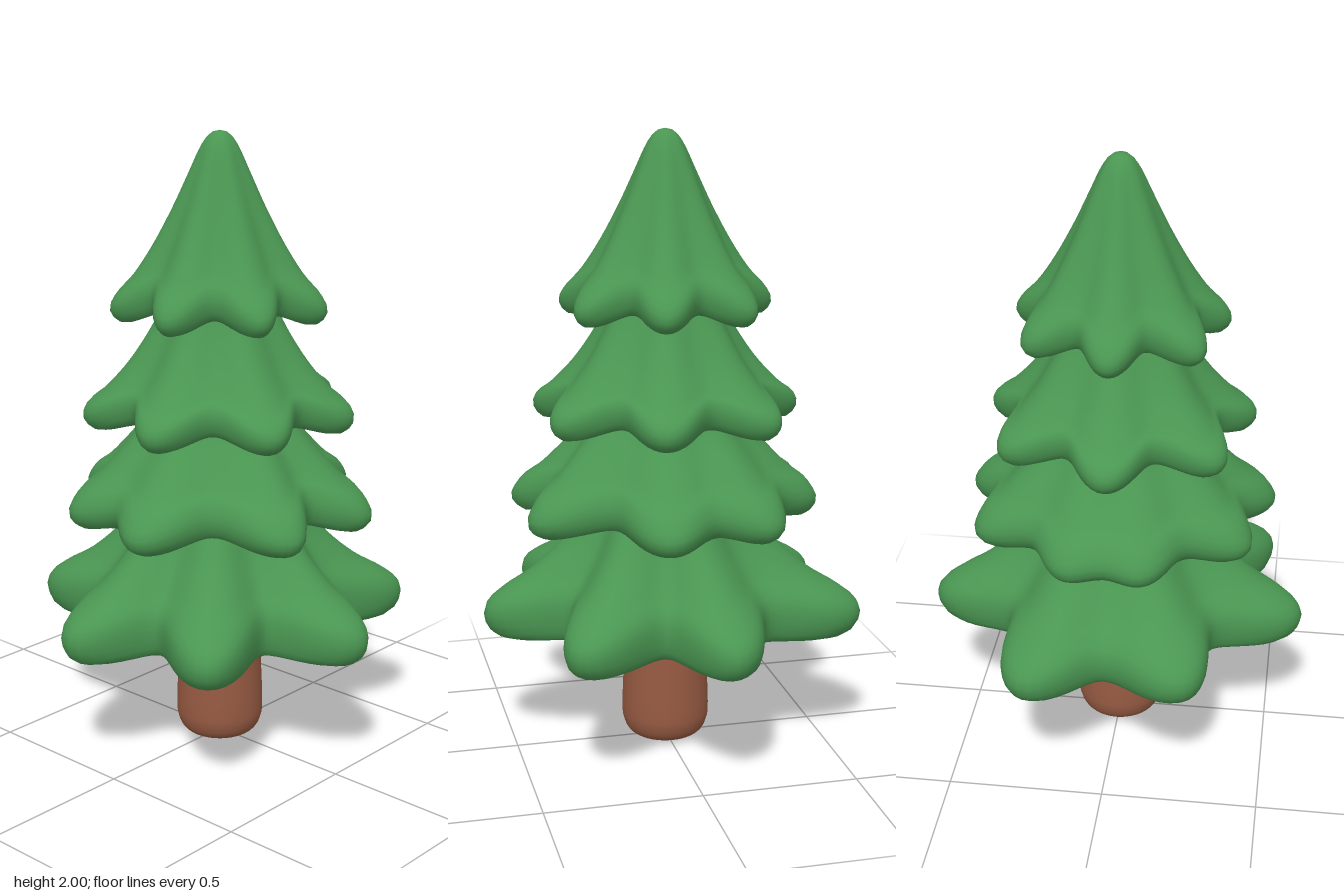
import * as THREE from 'three';
import { mergeVertices } from 'three/addons/utils/BufferGeometryUtils.js';

const SEGMENTS = 126;
const ROWS = 44;

// Full hem outline from alternating tip and valley points [degrees, radius] on each side.
function hemOutline(left, right = left) {
  const mirrored = right.slice(1, -1).reverse().map(([a, r]) => [360 - a, r]);
  return [...left, ...mirrored, [360, left[0][1]]];
}

// Radius of the hem at an angle, eased between neighbouring tips and valleys.
function hemRadius(outline, deg) {
  let i = 0;
  while (i < outline.length - 2 && deg > outline[i + 1][0]) i++;
  const [a0, r0] = outline[i], [a1, r1] = outline[i + 1];
  const t = (1 - Math.cos(Math.PI * (deg - a0) / (a1 - a0))) / 2;
  return r0 + (r1 - r0) * t;
}

// One skirt of foliage: a profile swept around, pulled in and lifted at the valleys.
function tierGeometry(profile, outline, lift) {
  const curve = new THREE.SplineCurve(profile.map(([r, y]) => new THREE.Vector2(r, y)));
  const rows = curve.getSpacedPoints(ROWS);
  const reach = Math.max(...profile.map(p => p[0]));
  const radii = outline.map(p => p[1]);
  const low = Math.min(...radii), high = Math.max(...radii);
  const positions = [], index = [];
  rows.forEach((p, i) => {
    const f = Math.max(p.x, 0) / reach;
    for (let j = 0; j < SEGMENTS; j++) {
      const deg = 360 * j / SEGMENTS, a = THREE.MathUtils.degToRad(deg);
      const R = hemRadius(outline, deg);
      const r = f * reach * (1 + (R / reach - 1) * f);
      const y = p.y + lift * f * f * (high - R) / (high - low);
      positions.push(r * Math.sin(a), y, r * Math.cos(a));
      if (i < ROWS) {
        const k = (j + 1) % SEGMENTS;
        const tl = i * SEGMENTS + j, tr = i * SEGMENTS + k;
        index.push(tl, tl + SEGMENTS, tr, tr, tl + SEGMENTS, tr + SEGMENTS);
      }
    }
  });
  let g = new THREE.BufferGeometry();
  g.setAttribute('position', new THREE.Float32BufferAttribute(positions, 3));
  g.setIndex(index);
  g = mergeVertices(g, 1e-5);
  g.computeVertexNormals();
  return g;
}

// Seven even lobes with one pointing straight back.
const evenLobes = (tip, valley) => hemOutline(
  Array.from({ length: 8 }, (_, i) => [i * 180 / 7, i % 2 ? tip : valley]));

export function createModel() {
  const tree = new THREE.Group();
  tree.name = 'pineTree';
  const foliage = new THREE.MeshStandardMaterial({ name: 'foliage green', color: 0x4a9652 });
  const bark = new THREE.MeshStandardMaterial({ name: 'bark brown', color: 0x965a42 });

  const add = (name, geometry, material) => {
    const mesh = new THREE.Mesh(geometry, material);
    mesh.name = name;
    tree.add(mesh);
  };

  // Trunk with a rounded foot
  const trunk = new THREE.SplineCurve([
    [0, 0], [0.08, 0.005], [0.12, 0.022], [0.139, 0.06], [0.143, 0.11],
    [0.139, 0.22], [0.127, 0.47],
  ].map(([x, y]) => new THREE.Vector2(x, y))).getPoints(30);
  trunk[0].x = 0;
  add('trunk', new THREE.LatheGeometry(trunk, 40), bark);

  // Lowest skirt: long lobes
  const base = [[0, 0.6], [26, 0.39], [51.4, 0.615], [77, 0.41], [98, 0.615], [127, 0.42]];
  add('bottomTier', tierGeometry([
    [0.18, 0.95], [0.22, 0.88], [0.27, 0.8], [0.35, 0.69], [0.45, 0.6], [0.54, 0.545],
    [0.59, 0.505], [0.605, 0.46], [0.585, 0.41], [0.54, 0.387], [0.48, 0.395],
    [0.4, 0.42], [0.2, 0.445], [0, 0.445],
  ], hemOutline(
    [...base, [157, 0.64], [180, 0.47]],
    [...base, [154, 0.605], [180, 0.47]]), 0.03), foliage);

  // Second skirt
  add('lowerMiddleTier', tierGeometry([
    [0.17, 1.25], [0.2, 1.19], [0.25, 1.1], [0.3, 1.03], [0.4, 0.925], [0.465, 0.875],
    [0.5, 0.815], [0.48, 0.775], [0.44, 0.763], [0.38, 0.79], [0.25, 0.83], [0, 0.83],
  ], hemOutline([
    [0, 0.375], [21.5, 0.51], [51, 0.38], [78.5, 0.51], [100, 0.42],
    [120, 0.5], [143, 0.41], [166, 0.49], [180, 0.46]]), 0.05), foliage);

  // Third skirt
  add('upperMiddleTier', tierGeometry([
    [0.14, 1.56], [0.19, 1.44], [0.24, 1.35], [0.3, 1.265], [0.37, 1.19], [0.415, 1.155],
    [0.43, 1.115], [0.41, 1.08], [0.375, 1.07], [0.32, 1.1], [0.2, 1.14], [0, 1.14],
  ], evenLobes(0.438, 0.33), 0.05), foliage);

  // Pointed crown
  add('topTier', tierGeometry([
    [0, 2], [0.03, 1.99], [0.06, 1.95], [0.1, 1.865], [0.15, 1.76], [0.21, 1.65],
    [0.27, 1.56], [0.325, 1.5], [0.345, 1.455], [0.325, 1.42], [0.29, 1.412],
    [0.24, 1.44], [0.15, 1.48], [0, 1.48],
  ], evenLobes(0.347, 0.255), 0.055), foliage);

  return tree;
}
